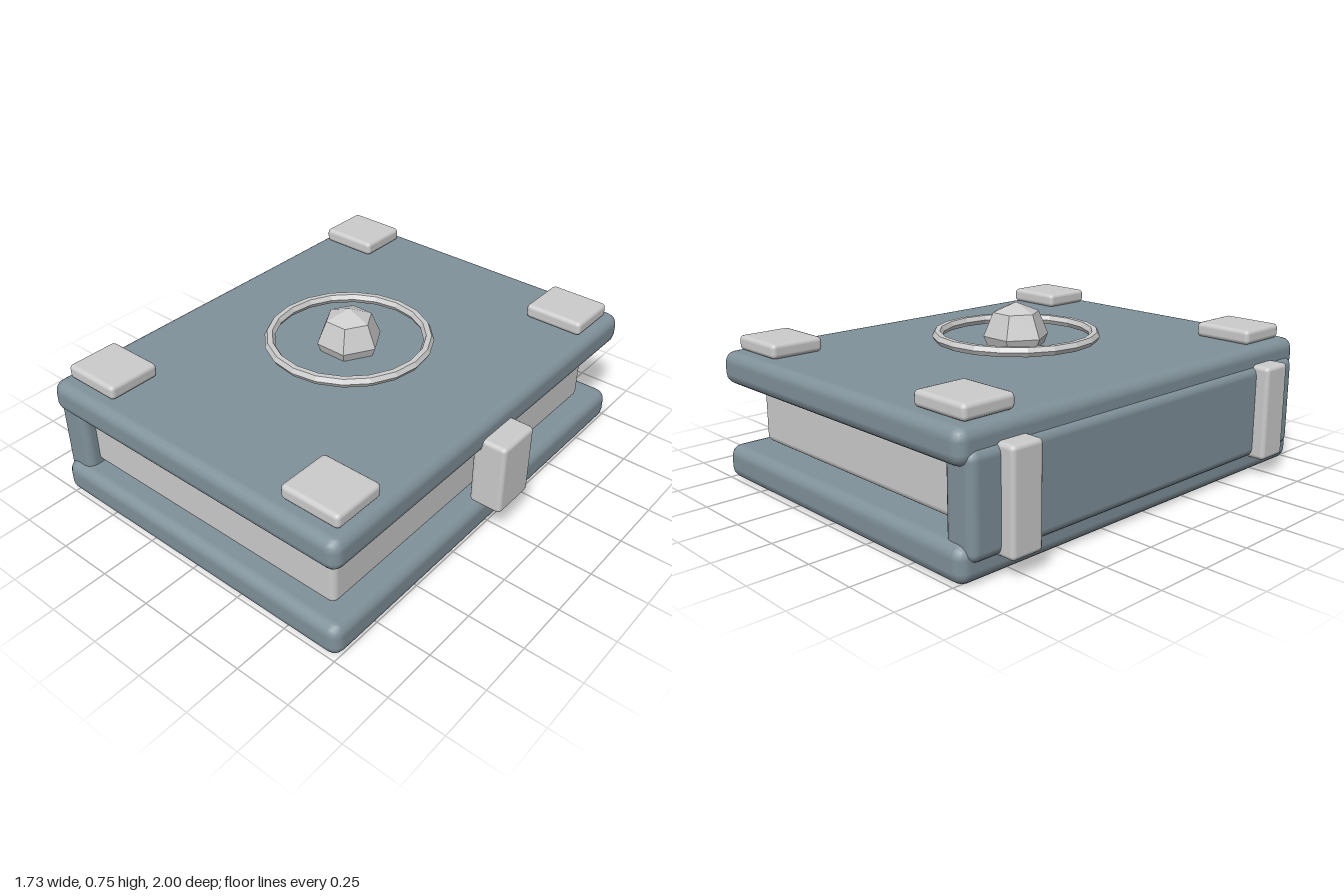
import * as THREE from 'three';
import { RoundedBoxGeometry } from 'three/addons/geometries/RoundedBoxGeometry.js';

export function createModel() {
  const model = new THREE.Group();
  const cover = new THREE.MeshStandardMaterial({ color: 0x80919a });
  const grey = new THREE.MeshStandardMaterial({ color: 0xcccccc });
  const faceted = new THREE.MeshStandardMaterial({ color: 0xcccccc, flatShading: true });

  const add = (name, geometry, material, x, y, z) => {
    const mesh = new THREE.Mesh(geometry, material);
    mesh.name = name;
    mesh.position.set(x, y, z);
    model.add(mesh);
    return mesh;
  };

  // Bevelled block given by its [min, max] extent on each axis
  const block = (name, material, [x0, x1], [y0, y1], [z0, z1], radius) => add(
    name,
    new RoundedBoxGeometry(x1 - x0, y1 - y0, z1 - z0, 2, radius),
    material, (x0 + x1) / 2, (y0 + y1) / 2, (z0 + z1) / 2);

  // Two boards, the spine and the page block
  block('bottomCover', cover, [-0.79, 0.76], [0, 0.15], [-1, 1], 0.05);
  block('topCover', cover, [-0.79, 0.76], [0.425, 0.57], [-1, 1], 0.05);
  block('spine', cover, [-0.81, -0.66], [0.08, 0.49], [-0.965, 0.965], 0.04);
  block('pages', grey, [-0.7, 0.67], [0.155, 0.413], [-0.86, 0.907], 0.03);

  // Clasp on the open edge
  block('clasp', grey, [0.715, 0.865], [0.165, 0.495], [-0.107, 0.107], 0.02);

  // Hinge straps across the spine
  for (const z of [-0.755, 0.75]) {
    block('hinge', grey, [-0.868, -0.72], [0.075, 0.495], [z - 0.075, z + 0.075], 0.02);
  }

  // Corner plates on the top board
  for (const x of [-0.607, 0.578]) {
    for (const z of [-0.815, 0.81]) {
      block('cornerPlate', grey, [x - 0.137, x + 0.137], [0.57, 0.635], [z - 0.121, z + 0.121], 0.02);
    }
  }

  // Ring and faceted gem in the middle of the top board
  const ring = add('ring', new THREE.TorusGeometry(0.344, 0.023, 6, 20), faceted, -0.016, 0.614, 0);
  ring.rotation.x = -Math.PI / 2;
  add('gem', new THREE.SphereGeometry(0.145, 6, 4), faceted, -0.016, 0.61, 0);

  return model;
}
